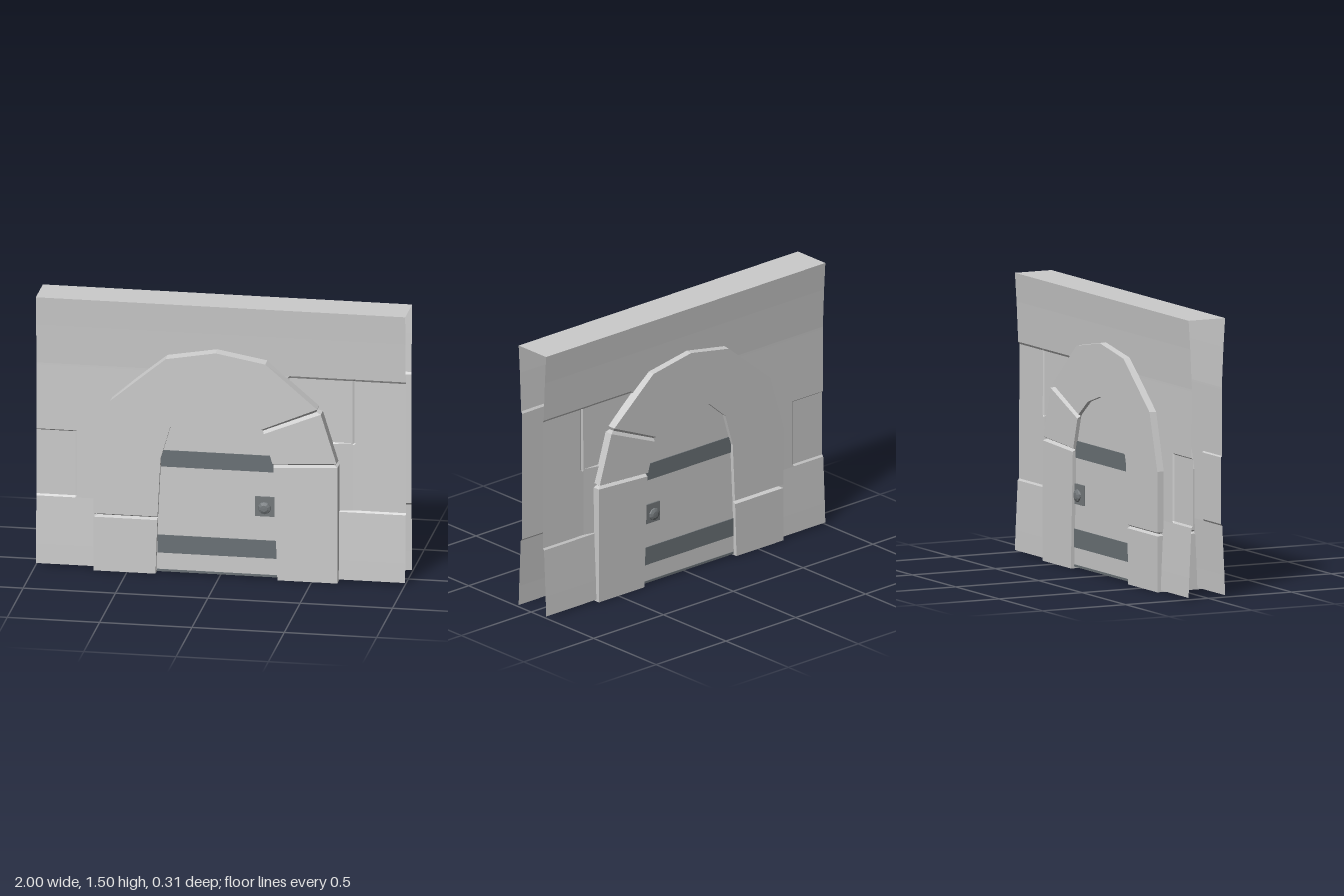
import * as THREE from 'three';

const mat = (color) => new THREE.MeshStandardMaterial({ color, flatShading: true, side: THREE.DoubleSide });
const stone = mat(0xcccccc), iron = mat(0x6b7276), plateMat = mat(0x757a7d);

function add(parent, name, geometry, material = stone) {
  const m = new THREE.Mesh(geometry, material);
  m.name = name;
  parent.add(m);
  return m;
}

// Skin a row of cross-sections with quads; skip(point) leaves holes
function loft(rings, closed, skip = () => false) {
  const out = [], n = rings[0].length;
  for (let i = 0; i < rings.length - 1; i++) {
    for (let k = 0; k < (closed ? n : n - 1); k++) {
      const j = (k + 1) % n;
      const a = rings[i][k], b = rings[i + 1][k], c = rings[i + 1][j], d = rings[i][j];
      if (skip((a[0] + c[0]) / 2, (a[1] + c[1]) / 2)) continue;
      out.push(...a, ...b, ...c, ...a, ...c, ...d);
    }
  }
  const g = new THREE.BufferGeometry();
  g.setAttribute('position', new THREE.Float32BufferAttribute(out, 3));
  g.computeVertexNormals();
  return g;
}

// Arch stations: inner x, y, outer x, y, and 1 where a joint is cut
const ARCH = [
  [-0.345, 0, -0.68, 0],
  [-0.335, 0.302, -0.68, 0.302], [-0.335, 0.312, -0.68, 0.312, 1], [-0.334, 0.322, -0.68, 0.322],
  [-0.318, 0.65, -0.68, 0.65],
  [-0.265, 0.83, -0.59, 0.96],
  [-0.15, 0.93, -0.29, 1.21],
  [-0.02, 0.97, -0.02, 1.258],
  [0.12, 0.925, 0.25, 1.21],
  [0.228, 0.842, 0.53, 0.972], [0.234, 0.832, 0.54, 0.96, 1], [0.24, 0.818, 0.55, 0.945],
  [0.288, 0.652, 0.635, 0.672], [0.291, 0.643, 0.638, 0.662, 1], [0.293, 0.632, 0.64, 0.65],
  [0.315, 0, 0.64, 0],
];

function archGeometry() {
  const rings = ARCH.map(([ix, iy, ox, oy, cut]) => {
    const z = cut ? 0.122 : 0.141, t = cut ? 0.94 : 1;
    const x = ix + (ox - ix) * t, y = iy + (oy - iy) * t;
    const ridge = oy > 1 ? 0.014 : 0; // the crown peaks along its middle
    return [[ix, iy, z], [x, y, z], [x, y + ridge, 0], [x, y, -z], [ix, iy, -z]];
  });
  return loft(rings, true);
}

// Wall face: flared at top and bottom, with slightly sunken blocks
const PROFILE = [[0.01, 0.1], [0.12, 0.096], [0.385, 0.083], [0.76, 0.082], [1.13, 0.08], [1.35, 0.09], [1.505, 0.1]];
function wallZ(x, y) {
  const i = Math.max(1, PROFILE.findIndex((p) => p[0] >= y - 1e-6));
  const [y0, z0] = PROFILE[i - 1], [y1, z1] = PROFILE[i];
  const z = z0 + ((z1 - z0) * (y - y0)) / (y1 - y0);
  const inside = (xa, xb, ya, yb) => x > xa && x < xb && y > ya && y < yb;
  const sunk = inside(-1.1, -0.785, 0.39, 0.76) || inside(0.365, 1.1, 0.765, 1.13) || inside(0.63, 1.1, 0.39, 0.77);
  const joint = inside(0.715, 0.725, 0.77, 1.13);
  return z - (joint ? 0.014 : sunk ? 0.008 : 0);
}

function wallGeometry() {
  const xs = [-1, -0.79, -0.78, -0.6, 0.36, 0.37, 0.58, 0.71, 0.72, 0.73, 1];
  const ys = [0.01, 0.12, 0.385, 0.395, 0.755, 0.762, 0.772, 1.12, 1.132, 1.35, 1.505];
  const rings = xs.map((x) => ys.map((y) => [x, y, wallZ(x, y)]));
  return loft(rings, false, (x, y) => x > -0.6 && x < 0.58 && y < 0.755); // doorway
}

// One door leaf: panel, iron bands, handle plate and knob
function doorFace() {
  const g = new THREE.Group();
  g.name = 'doorFace';
  const pts = ARCH.map(([x, y]) => new THREE.Vector2(x, Math.max(y, 0.015)));
  const panel = add(g, 'doorPanel', new THREE.ShapeGeometry(new THREE.Shape(pts)));
  panel.position.z = 0.12;
  for (const [y0, y1, l, r] of [[0.115, 0.215, -0.338, 0.308], [0.6, 0.692, -0.318, 0.292]]) {
    const band = add(g, 'doorBand', new THREE.BoxGeometry(r - l, y1 - y0, 0.006), iron);
    band.position.set((l + r) / 2, (y0 + y1) / 2, 0.122);
  }
  const sill = add(g, 'doorSill', new THREE.BoxGeometry(0.65, 0.012, 0.012), iron);
  sill.position.set(-0.014, 0.016, 0.118);
  const plate = add(g, 'handlePlate', new THREE.BoxGeometry(0.105, 0.11, 0.01), plateMat);
  plate.position.set(0.244, 0.406, 0.123);
  const profile = [[0.022, 0.125], [0.02, 0.133], [0.035, 0.139], [0.033, 0.146], [0.018, 0.153], [0, 0.154]];
  const knob = add(g, 'doorKnob',
    new THREE.LatheGeometry(profile.map((p) => new THREE.Vector2(...p)), 10), plateMat);
  knob.rotation.x = Math.PI / 2;
  knob.position.set(0.244, 0.402, 0);
  return g;
}

export function createModel() {
  const model = new THREE.Group();
  model.name = 'archedDoorway';

  // Wall: two open faces joined by a flat top
  add(model, 'wallFront', wallGeometry());
  const back = add(model, 'wallBack', wallGeometry());
  back.scale.z = -1;
  back.position.z = -0.02;
  const top = add(model, 'wallTop', new THREE.PlaneGeometry(2, 0.22));
  top.rotation.x = -Math.PI / 2;
  top.position.set(0, 1.505, -0.01);

  add(model, 'stoneArch', archGeometry());

  // Door, alike on both sides
  const front = doorFace(), rear = doorFace();
  rear.scale.z = -1;
  model.add(front, rear);
  return model;
}
